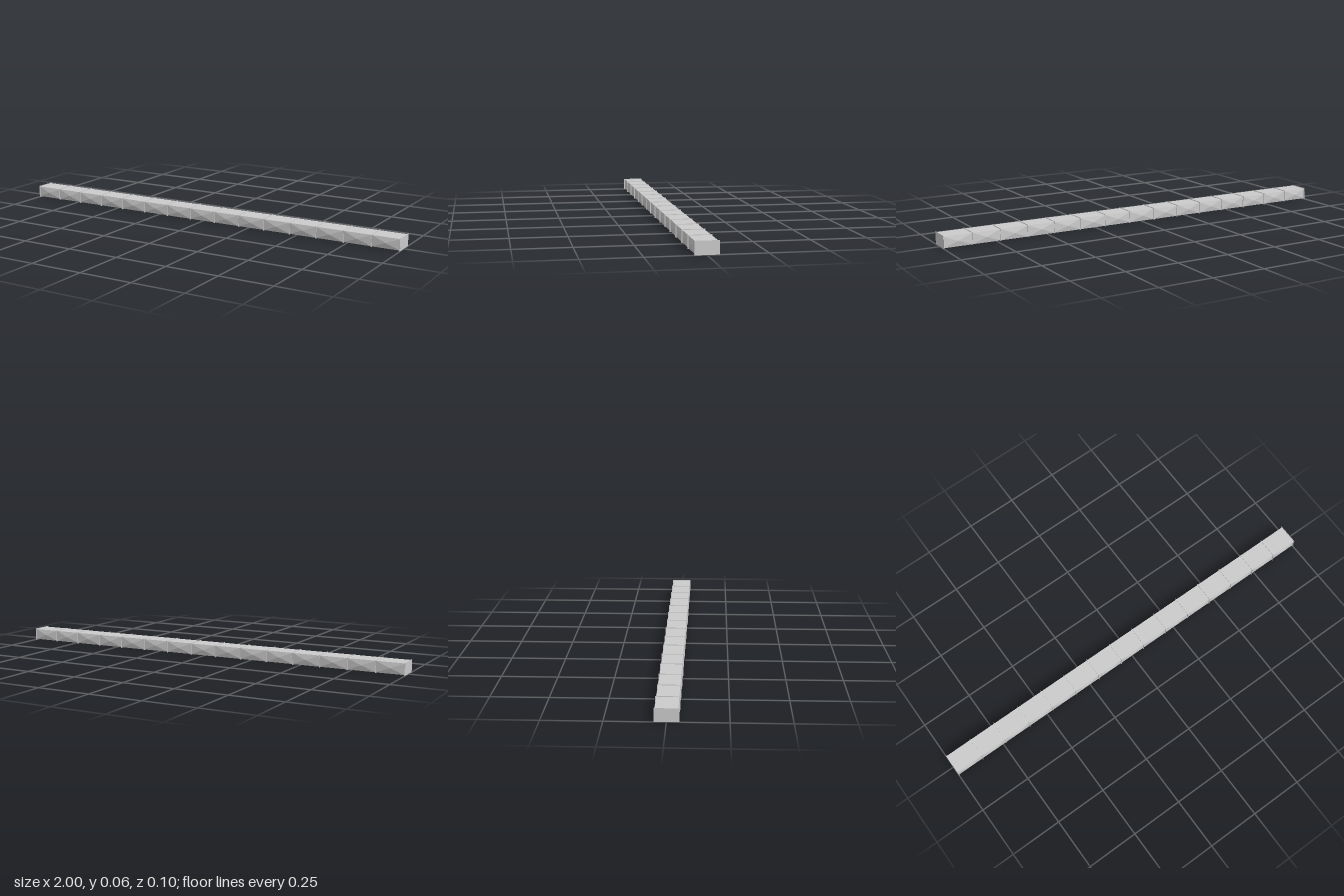
import * as THREE from 'three';

const SEGMENTS = 15;
const STEP = 2 / SEGMENTS;
const MID_Y = 0.029;
const BODY_H = 0.052;
const HALF_DEPTH = 0.0465;
const BULGE = 0.006;

export function createModel() {
  const model = new THREE.Group();
  const material = new THREE.MeshStandardMaterial({ color: 0xcccccc, flatShading: true });

  const add = (name, geometry, x, y, z, parent = model) => {
    const mesh = new THREE.Mesh(geometry, material);
    mesh.name = name;
    mesh.position.set(x, y, z);
    parent.add(mesh);
    return mesh;
  };

  // Long core of the girder
  add('girderCore', new THREE.BoxGeometry(2, BODY_H, HALF_DEPTH * 2), 0, MID_Y, 0);

  // Shallow four-sided pyramid panel pointing along +z
  const panel = new THREE.ConeGeometry(Math.SQRT1_2, 1, 4, 1, true);
  panel.rotateY(Math.PI / 4);
  panel.rotateX(Math.PI / 2);
  panel.translate(0, 0, 0.5);
  panel.scale(STEP, BODY_H, BULGE);

  // Cross-braced panels on both long sides
  for (const side of [1, -1]) {
    const group = new THREE.Group();
    group.name = side > 0 ? 'frontPanels' : 'backPanels';
    model.add(group);
    for (let i = 0; i < SEGMENTS; i++) {
      const mesh = add('sidePanel', panel, -1 + (i + 0.5) * STEP, MID_Y, side * HALF_DEPTH, group);
      if (side < 0) mesh.rotation.y = Math.PI;
    }
  }

  // Thin divider plates at every joint and just inside both ends
  const plates = new THREE.Group();
  plates.name = 'dividerPlates';
  model.add(plates);
  const plate = new THREE.BoxGeometry(0.002, 0.058, 0.102);
  for (let i = 0; i <= SEGMENTS; i++) {
    const x = THREE.MathUtils.clamp(-1 + i * STEP, -0.9985, 0.9985);
    add('dividerPlate', plate, x, MID_Y, 0, plates);
  }

  return model;
}
